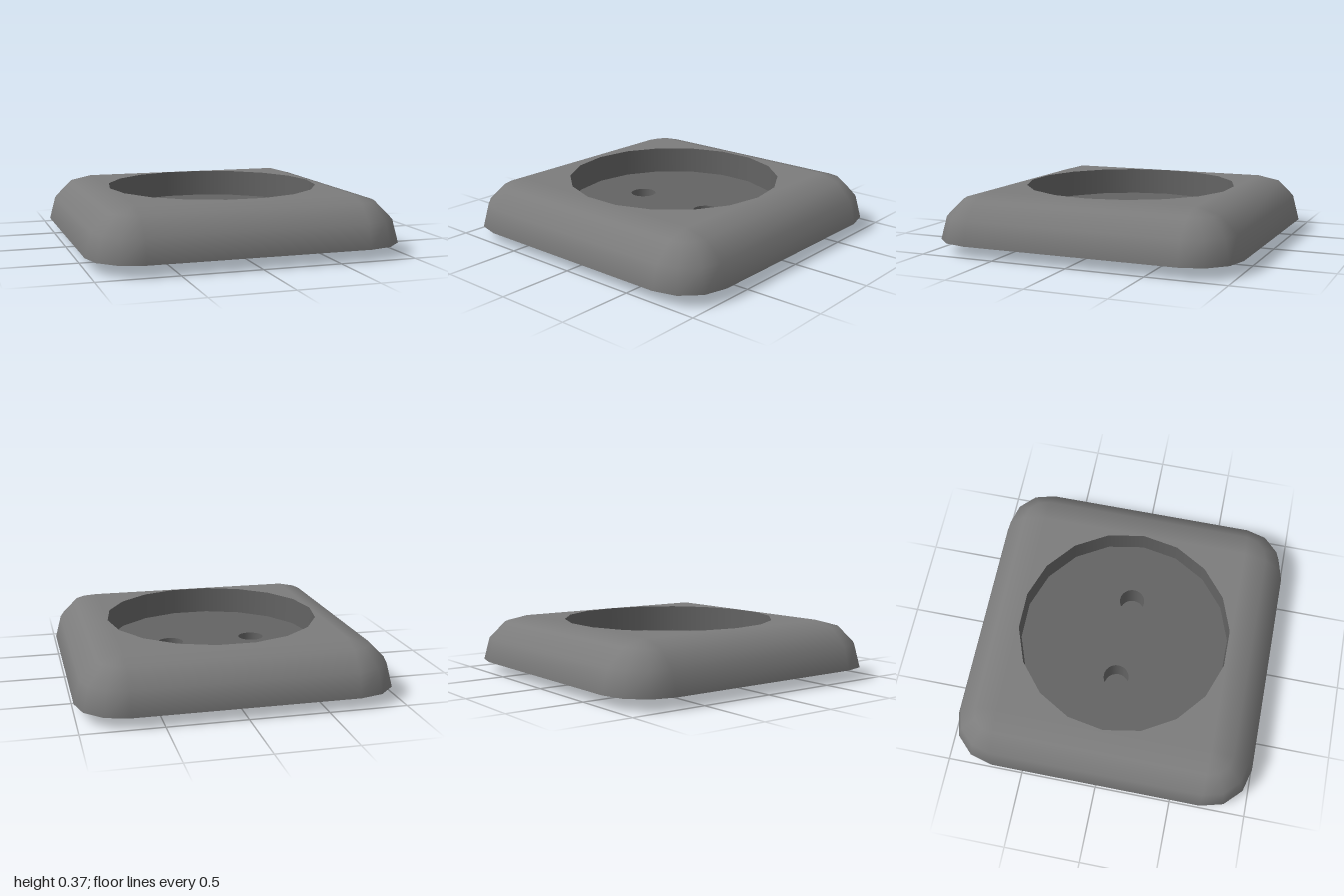
import * as THREE from 'three';

const BASE = 0.073, TOP = 0.373, FLOOR = 0.194; // rim, upper face and recess floor heights
const ROUND = 0.3, CORE = 0.7;                  // edge radius and half-size of the flat square
const DISH_R = 0.7, DISH_SIDES = 18;
const HOLE_R = 0.084, HOLE_X = 0.28, HOLE_SIDES = 24;

const coverGrey = new THREE.MeshStandardMaterial({ color: 0x7c7c7c, side: THREE.DoubleSide });
const recessGrey = new THREE.MeshStandardMaterial({ color: 0x636363, side: THREE.DoubleSide });

function part(name, geometry, material) {
  const mesh = new THREE.Mesh(geometry, material);
  mesh.name = name;
  return mesh;
}

// Points of a regular polygon from corner `from` to corner `to`
function arc(radius, sides, from, to, cx = 0) {
  const points = [];
  for (let i = from; i <= to; i++) {
    const a = (i / sides) * Math.PI * 2;
    points.push(new THREE.Vector2(cx + radius * Math.cos(a), radius * Math.sin(a)));
  }
  return points;
}

// Flat upward-facing sheet at a given height
function sheet(shape, y) {
  return new THREE.ShapeGeometry(shape).rotateX(-Math.PI / 2).translate(0, y, 0);
}

// Rounded sides: a dome of 30 degree steps, split into four corners pushed apart
function roundedSides() {
  const positions = [], normals = [], index = [];
  const columns = 16, rows = 4;
  for (let r = 0; r < rows; r++) {
    const lift = (r * Math.PI) / 6;
    for (let c = 0; c < columns; c++) {
      const corner = Math.floor(c / 4);
      const turn = ((corner * 3 + (c % 4)) * Math.PI) / 6;
      const n = [Math.cos(lift) * Math.cos(turn), Math.sin(lift), Math.cos(lift) * Math.sin(turn)];
      const sx = corner === 0 || corner === 3 ? 1 : -1;
      const sz = corner < 2 ? 1 : -1;
      positions.push(sx * CORE + ROUND * n[0], BASE + ROUND * n[1], sz * CORE + ROUND * n[2]);
      normals.push(...n);
      if (r < rows - 1) {
        const a = r * columns + c, b = r * columns + ((c + 1) % columns);
        index.push(a, a + columns, b, b, a + columns, b + columns);
      }
    }
  }
  const geometry = new THREE.BufferGeometry();
  geometry.setAttribute('position', new THREE.Float32BufferAttribute(positions, 3));
  geometry.setAttribute('normal', new THREE.Float32BufferAttribute(normals, 3));
  geometry.setIndex(index);
  return geometry;
}

// Open tube from y0 up to y1 with a corner on the x axis
function tube(radius, sides, y0, y1) {
  return new THREE.CylinderGeometry(radius, radius, y1 - y0, sides, 1, true, Math.PI / 2)
    .translate(0, (y0 + y1) / 2, 0);
}

export function createModel() {
  const model = new THREE.Group();
  model.name = 'socketCover';

  model.add(part('coverSides', roundedSides(), coverGrey));

  // Upper face around the round recess, in two mirrored halves
  for (const side of [0, 1]) {
    const half = new THREE.Shape([
      new THREE.Vector2(CORE, 0), new THREE.Vector2(CORE, CORE),
      new THREE.Vector2(-CORE, CORE), new THREE.Vector2(-CORE, 0),
      ...arc(DISH_R, DISH_SIDES, 1, DISH_SIDES / 2 - 1).reverse(),
    ]);
    const face = sheet(half, TOP).rotateY(side * Math.PI);
    model.add(part(side ? 'frontTopFace' : 'backTopFace', face, coverGrey));
  }

  // Darker recess wall and floor
  model.add(part('recessWall', tube(DISH_R, DISH_SIDES, FLOOR, TOP), recessGrey));
  const floor = new THREE.Shape(arc(DISH_R, DISH_SIDES, 0, DISH_SIDES - 1));
  for (const x of [-HOLE_X, HOLE_X]) {
    floor.holes.push(new THREE.Path(arc(HOLE_R, HOLE_SIDES, 0, HOLE_SIDES - 1, x)));
  }
  model.add(part('recessFloor', sheet(floor, FLOOR), recessGrey));

  // Pin sockets: closed-bottom cups hanging under the floor
  for (const [name, x] of [['rightPinSocket', -HOLE_X], ['leftPinSocket', HOLE_X]]) {
    const socket = new THREE.Group();
    socket.name = name;
    socket.position.x = x;
    const bottom = new THREE.CircleGeometry(HOLE_R, HOLE_SIDES).rotateX(Math.PI / 2);
    socket.add(
      part('socketWall', tube(HOLE_R, HOLE_SIDES, 0, FLOOR), recessGrey),
      part('socketBottom', bottom, recessGrey),
    );
    model.add(socket);
  }
  return model;
}
